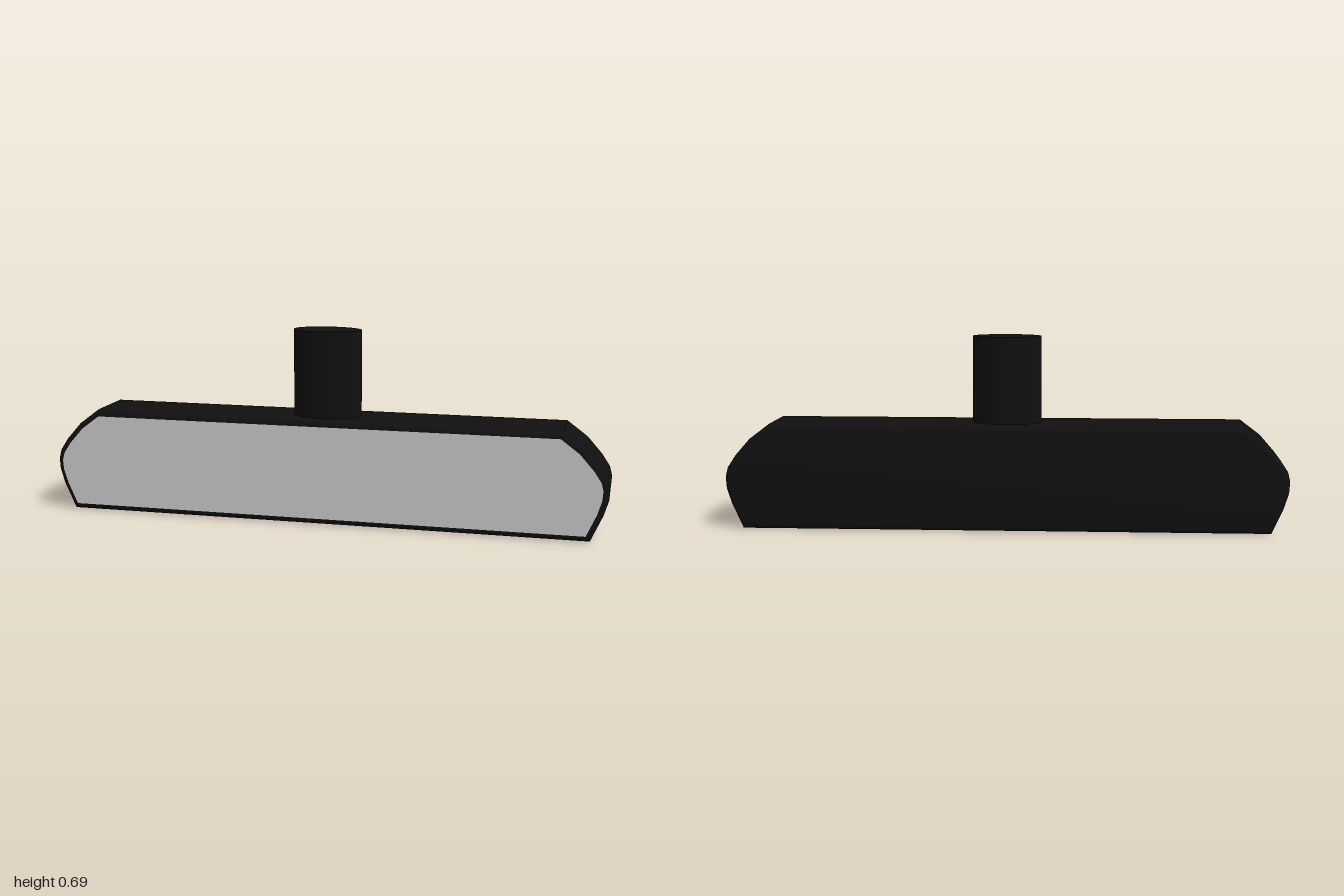
import * as THREE from 'three';
import { toCreasedNormals } from 'three/addons/utils/BufferGeometryUtils.js';

// Right half of the glass outline, top to bottom
const HALF = [
  [0.827, 0.356], [0.892, 0.307], [0.942, 0.25], [0.967, 0.212], [0.974, 0.185],
  [0.972, 0.15], [0.957, 0.1], [0.923, 0.022],
];
const RIM = 0.022;     // width and depth of the rounded rim
const DEPTH = 0.113;   // half depth of the housing

export function createModel() {
  const model = new THREE.Group();
  const black = new THREE.MeshStandardMaterial({ color: 0x101010 });
  const grey = new THREE.MeshStandardMaterial({ color: 0xcccccc });

  const add = (name, geometry, material) => {
    const mesh = new THREE.Mesh(geometry, material);
    mesh.name = name;
    model.add(mesh);
    return mesh;
  };

  // Symmetric outline shared by glass and housing
  const right = HALF.map(([x, y]) => new THREE.Vector2(x, y));
  const left = HALF.map(([x, y]) => new THREE.Vector2(-x, y)).reverse();
  const outline = new THREE.Shape([...right, ...left]);

  // The ends lean very slightly from back to front
  const lean = new THREE.Matrix4().set(
    1, 0, -0.04, 0,
    0, 1, 0, 0,
    0, 0, 1, 0,
    0, 0, 0, 1,
  );

  // Housing with rounded rims front and back
  const housing = new THREE.ExtrudeGeometry(outline, {
    depth: 2 * (DEPTH - RIM),
    bevelEnabled: true,
    bevelSize: RIM,
    bevelThickness: RIM,
    bevelSegments: 5,
  });
  housing.translate(0, 0, -(DEPTH - RIM)).applyMatrix4(lean);
  add('housing', toCreasedNormals(housing, 0.5), black);

  // Glass set flush in the front rim
  const glass = new THREE.ShapeGeometry(outline);
  glass.translate(0, 0, DEPTH + 0.001).applyMatrix4(lean);
  add('mirrorGlass', glass, grey);

  // Oval mounting stem
  const stem = new THREE.CylinderGeometry(1, 1, 0.325, 48);
  stem.scale(0.122, 1, 0.072).translate(0, 0.5225, 0);
  add('mountingStem', stem, black);

  return model;
}
